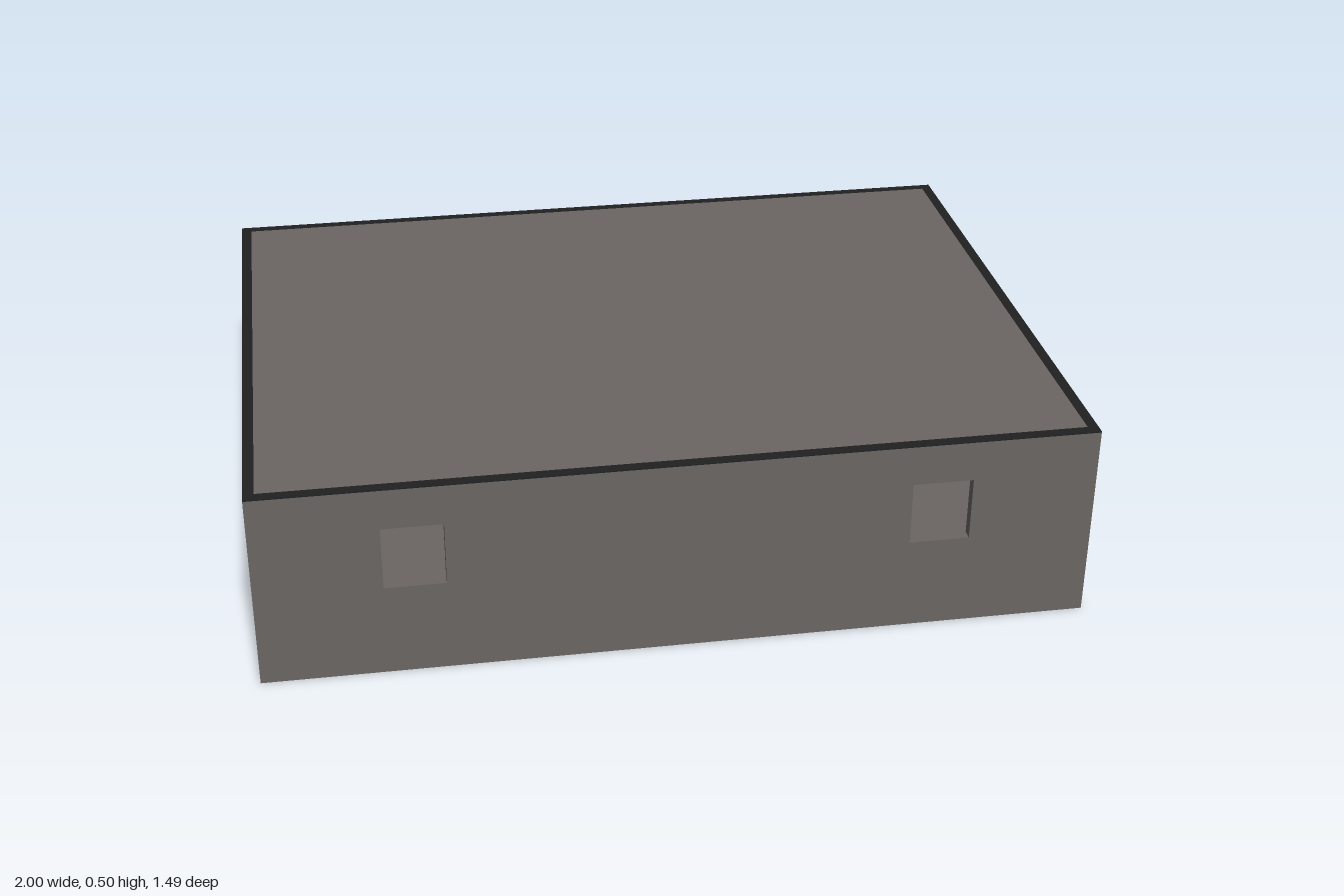
import * as THREE from 'three';

const W = 2, D = 1.49, H = 0.5;   // outer size
const T = 0.026;                  // wall thickness
const BASE = 0.005, CAP = 0.003;  // floor slab and wall-top trim

const grey = new THREE.MeshStandardMaterial({ color: 0x6b6664 });
grey.name = 'warm grey';
const black = new THREE.MeshStandardMaterial({ color: 0x202122 });
black.name = 'near black';

function rect(path, x0, y0, x1, y1) {
  path.moveTo(x0, y0).lineTo(x1, y0).lineTo(x1, y1).lineTo(x0, y1).closePath();
  return path;
}

function add(group, name, geometry, material, x = 0, y = 0, z = 0) {
  const mesh = new THREE.Mesh(geometry, material);
  mesh.name = name;
  mesh.position.set(x, y, z);
  group.add(mesh);
  return mesh;
}

export function createModel() {
  const group = new THREE.Group();
  group.name = 'building';
  const top = H - CAP, wallH = top - BASE, midY = (top + BASE) / 2;
  const extrude = (shape, depth) => new THREE.ExtrudeGeometry(shape, { depth, bevelEnabled: false });

  // Front wall with two window openings
  const front = rect(new THREE.Shape(), -W / 2, BASE, W / 2, top);
  for (const x of [-0.627, 0.623])
    front.holes.push(rect(new THREE.Path(), x - 0.073, 0.235, x + 0.073, 0.395));
  add(group, 'frontWall', extrude(front, T), grey, 0, 0, D / 2 - T);

  // Wall at -x with a doorway reaching the floor (shape x runs along +z)
  const e = D / 2 - T, d0 = -0.466, d1 = -0.28, doorTop = 0.34;
  const side = new THREE.Shape([
    [-e, BASE], [d0, BASE], [d0, doorTop], [d1, doorTop], [d1, BASE], [e, BASE], [e, top], [-e, top],
  ].map(([z, y]) => new THREE.Vector2(z, y)));
  add(group, 'doorWall', extrude(side, T), grey, -W / 2 + T, 0, 0).rotation.y = -Math.PI / 2;

  // Plain walls
  add(group, 'backWall', new THREE.BoxGeometry(W, wallH, T), grey, 0, midY, -D / 2 + T / 2);
  add(group, 'plainSideWall', new THREE.BoxGeometry(T, wallH, 2 * e), grey, W / 2 - T / 2, midY, 0);

  // Floor and roof panel set between the walls
  add(group, 'floor', new THREE.BoxGeometry(W, BASE, D), grey, 0, BASE / 2, 0);
  add(group, 'roof', new THREE.BoxGeometry(W - 2 * T, T, D - 2 * T), grey, 0, H - T / 2, 0);

  // Dark trim along the wall tops
  const trim = rect(new THREE.Shape(), -W / 2, -D / 2, W / 2, D / 2);
  trim.holes.push(rect(new THREE.Path(), -W / 2 + T, -e, W / 2 - T, e));
  add(group, 'wallTopTrim', extrude(trim, CAP), black, 0, top, 0).rotation.x = -Math.PI / 2;

  return group;
}
